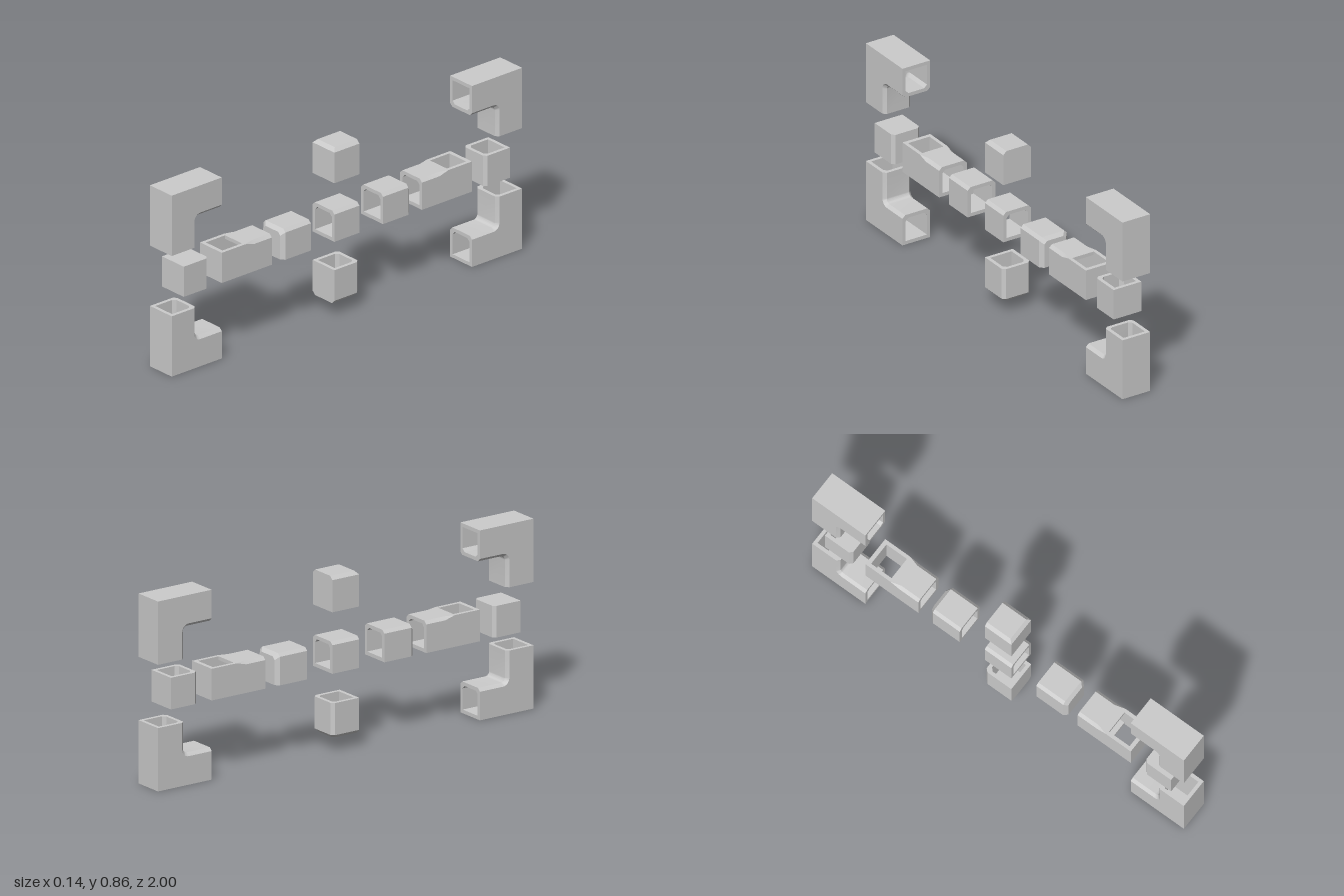
import * as THREE from 'three';
import { toCreasedNormals } from 'three/addons/utils/BufferGeometryUtils.js';

const W = 1 / 7, H = W / 2;   // tube width and half width
const T = 0.0165;             // wall thickness
const C = 0.014;              // bevel of the two edges on one side
const MID = 3 / 7;            // height of the middle row

const material = new THREE.MeshStandardMaterial({ color: 0xcccccc });

// Square outline whose two upper corners are bevelled by c
const section = (h, bottom, top, c) => [
  [h, bottom], [h, top - c], [h - c, top], [-h + c, top], [-h, top - c], [-h, bottom],
];
const ring = (pts, z) => pts.map(([x, y]) => new THREE.Vector3(x, y, z));
const point = (y, z) => Array.from({ length: 6 }, () => new THREE.Vector3(0, y, z));

// Skin a sequence of rings, leaving out collapsed triangles
function loft(rings, closed) {
  const pos = [], tri = new THREE.Triangle();
  const add = (a, b, c) => {
    if (tri.set(a, b, c).getArea() > 1e-9) for (const p of [a, b, c]) pos.push(p.x, p.y, p.z);
  };
  const count = closed ? rings.length : rings.length - 1;
  for (let k = 0; k < count; k++) {
    const a = rings[k], b = rings[(k + 1) % rings.length];
    for (let i = 0; i < a.length; i++) {
      const j = (i + 1) % a.length;
      add(a[i], a[j], b[j]);
      add(a[i], b[j], b[i]);
    }
  }
  const g = new THREE.BufferGeometry();
  g.setAttribute('position', new THREE.Float32BufferAttribute(pos, 3));
  return toCreasedNormals(g, 0.4);
}

// Open tube along z; stations are [z, bevel]
function openTube(stations) {
  const outer = stations.map(([z, c]) => ring(section(H, -H, H, c), z));
  const inner = stations.map(([z, c]) => ring(section(H - T, T - H, H - T, c), z));
  return loft([...outer, ...inner.reverse()], true);
}

// Tube open at z = 0 and closed at z = length; "end" bevels three edges of the closed end
function cappedTube(length, bevel, end) {
  const bore = section(H - T, T - H, H - T, bevel);
  const body = section(H, -H, H, bevel);
  return loft([
    point(0, length - T), ring(bore, length - T), ring(bore, 0),
    ring(body, 0), ring(body, length - end),
    ring(section(H - end, -H, H - end, bevel), length), point(0, length),
  ], false);
}

// Hollow L with a small inner fillet, arms pointing to -y and -z, centred on the middle row
function elbowGeometry() {
  const r = 0.02, steps = 6;
  const top = MID, front = 1, arm = 2 * W;
  const cy = top - W - r, cz = front - W - r;   // fillet centre
  const frames = [[top - arm, cz, 0]];
  for (let i = 0; i <= steps; i++) frames.push([cy, cz, (i / steps) * Math.PI / 2]);
  frames.push([cy, front - arm, Math.PI / 2]);

  const skin = (inset) => frames.map(([y, z, a]) => {
    const reach = (r + W - inset) / Math.max(Math.cos(a), Math.sin(a));
    return section(H - inset, -reach, -(r + inset), C).map(([x, s]) =>
      new THREE.Vector3(x, y - s * Math.sin(a), z - s * Math.cos(a)));
  });
  return loft([...skin(0), ...skin(T).reverse()], true);
}

export function createModel() {
  const model = new THREE.Group();
  const add = (name, geometry, parent = model) => {
    const mesh = new THREE.Mesh(geometry, material);
    mesh.name = name;
    parent.add(mesh);
    return mesh;
  };
  // Point the tube axis along "axis" with the bevelled side towards "up"
  const place = (mesh, axis, up, y, z) => {
    const a = new THREE.Vector3(...axis), u = new THREE.Vector3(...up);
    const m = new THREE.Matrix4().makeBasis(new THREE.Vector3().crossVectors(u, a), u, a);
    mesh.quaternion.setFromRotationMatrix(m);
    mesh.position.set(0, y, z);
  };

  // Four corner elbows
  const elbow = elbowGeometry();
  [['upperFrontElbow', 0, 0, 0], ['upperBackElbow', 0, Math.PI, 0],
    ['lowerFrontElbow', 0, 0, Math.PI], ['lowerBackElbow', Math.PI, 0, 0]]
    .forEach(([name, x, y, z]) => {
      const mesh = add(name, elbow);
      mesh.rotation.set(x, y, z);
      mesh.position.y = MID;
    });

  // Straight piece in the middle
  add('centreTube', openTube([[-H, C], [H, C]])).position.y = MID;

  // End caps around the centre
  const cap = cappedTube(0.161, C, 0.016), squareCap = cappedTube(0.161, 0, 0.016);
  const gap = 0.206;
  place(add('frontCap', cap), [0, 0, 1], [0, 1, 0], MID, gap);
  place(add('backCap', cap), [0, 0, -1], [0, 1, 0], MID, -gap);
  place(add('lowerCap', cap), [0, -1, 0], [0, 0, -1], MID - gap, 0);
  place(add('upperCap', squareCap), [0, 1, 0], [0, 0, 1], MID + gap, 0);

  // Upright cups near both ends
  const cup = cappedTube(W, C, 0);
  place(add('frontCup', cup), [0, 1, 0], [0, 0, -1], MID - H, 0.86);
  place(add('backCup', cup), [0, -1, 0], [0, 0, 1], MID + H, -0.86);

  // Junctions: a tube that runs into a vertical shaft, closed at the far end
  const z0 = 3 * W, z1 = 0.585, z2 = 5 * W;
  const neck = openTube([[z0, C], [0.53, C], [0.58, 0], [z1, 0]]);
  const wall = new THREE.Shape([
    [-H, -z1], [-H, -z2], [H, -z2], [H, -z1], [H - T, -z1],
    [H - T, -z2 + 0.019], [T - H, -z2 + 0.019], [T - H, -z1],
  ].map(([x, y]) => new THREE.Vector2(x, y)));
  const shaft = new THREE.ExtrudeGeometry(wall, { depth: W, bevelEnabled: false });
  shaft.rotateX(-Math.PI / 2).translate(0, -H, 0);
  for (const [name, turn] of [['frontJunction', 0], ['backJunction', Math.PI]]) {
    const junction = new THREE.Group();
    junction.name = name;
    junction.position.y = MID;
    junction.rotation.y = turn;
    add('junctionNeck', neck, junction);
    add('junctionShaft', shaft, junction);
    model.add(junction);
  }
  return model;
}
